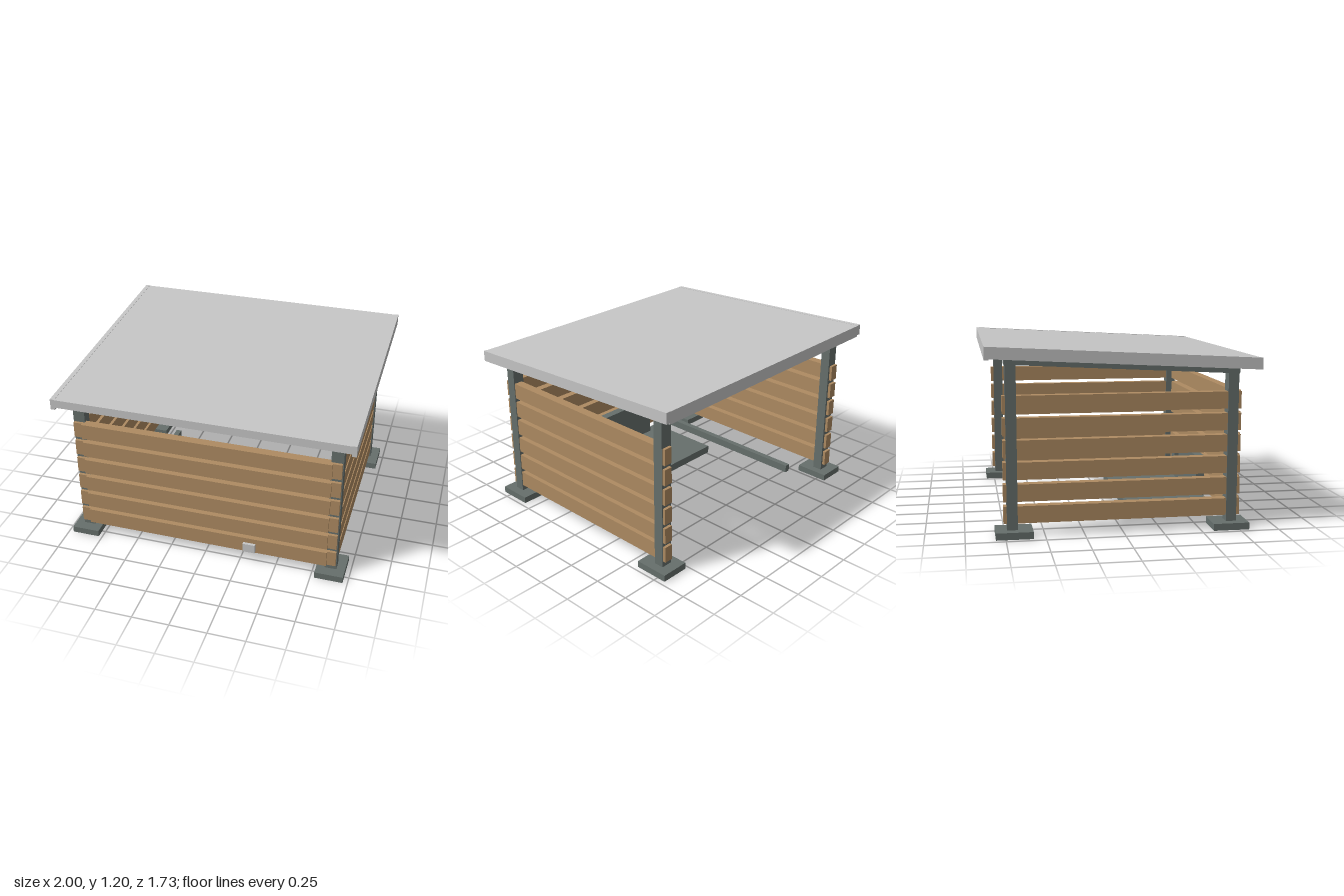
import * as THREE from 'three';

const SLOPE = 0.052; // roof rise towards the back

export function createModel() {
  const model = new THREE.Group();
  model.name = 'openShelter';

  const mat = (name, color) => {
    const m = new THREE.MeshStandardMaterial({ color });
    m.name = name;
    return m;
  };
  const steel = mat('darkGreySteel', 0x666f6c);
  const wood = mat('wood', 0xae8b62);
  const sheet = mat('lightGreySheet', 0xc6c6c6);

  // Box from its limits; tilt shears all of it, or just its top, along the roof slope
  function box(name, material, [x0, x1], [y0, y1], [z0, z1], tilt = '') {
    const g = new THREE.BoxGeometry(x1 - x0, y1 - y0, z1 - z0);
    g.translate((x0 + x1) / 2, (y0 + y1) / 2, (z0 + z1) / 2);
    if (tilt) {
      const p = g.attributes.position;
      for (let i = 0; i < p.count; i++) {
        if (tilt === 'all' || p.getY(i) > (y0 + y1) / 2) p.setY(i, p.getY(i) - SLOPE * p.getZ(i));
      }
      g.computeVertexNormals();
    }
    const mesh = new THREE.Mesh(g, material);
    mesh.name = name;
    model.add(mesh);
  }
  // Limits mirrored to the chosen side
  const side = (s, a, b) => (s > 0 ? [a, b] : [-b, -a]);

  // Roof: sloped panel with side trims and end lips
  box('roofPanel', sheet, [-0.97, 0.97], [1.1, 1.154], [-0.862, 0.862], 'all');
  box('roofBackLip', sheet, [-0.97, 0.97], [1.072, 1.154], [-0.865, -0.835], 'all');
  box('roofFrontLip', sheet, [-0.97, 0.97], [1.098, 1.154], [0.835, 0.865], 'all');

  for (const s of [1, -1]) {
    const tag = s > 0 ? 'Left' : 'Right';
    box('roofTrim' + tag, sheet, side(s, 0.97, 1), [1.082, 1.156], [-0.865, 0.865], 'all');
    box('roofBeam' + tag, steel, side(s, 0.83, 0.91), [1.044, 1.1], [-0.745, 0.745], 'all');
    box('floorRail' + tag, steel, side(s, 0.635, 0.675), [0.03, 0.085], [-0.555, 0.66]);
    // Posts on foot plates
    for (const e of [1, -1]) {
      box('post' + tag, steel, side(s, 0.83, 0.91), [0.045, 1.044], side(e, 0.672, 0.74), 'top');
      box('footPlate' + tag, steel, side(s, 0.775, 0.968), [0, 0.045], side(e, 0.577, 0.812));
    }
  }

  // Slatted walls: thick side boards run through the posts, front boards fit between them
  for (let i = 0; i < 6; i++) {
    const y = [0.086 + i * 0.139, 0.196 + i * 0.139];
    box('frontSlat', wood, [-0.845, 0.845], y, [0.715, 0.775]);
    for (const s of [1, -1]) box('sideSlat', wood, side(s, 0.845, 0.905), y, [-0.76, 0.76]);
  }

  // Base plate with upright panel and a small block on it
  box('basePlate', steel, [-0.48, 0.475], [0.03, 0.085], [0.09, 0.67]);
  box('uprightPanel', steel, [-0.36, 0.355], [0.076, 0.367], [0.615, 0.675]);
  box('panelBlock', steel, [0.15, 0.25], [0.13, 0.3], [0.585, 0.615]);

  // Small box on the front wall
  box('frontBox', sheet, [0.275, 0.36], [0.096, 0.16], [0.775, 0.795]);

  return model;
}
